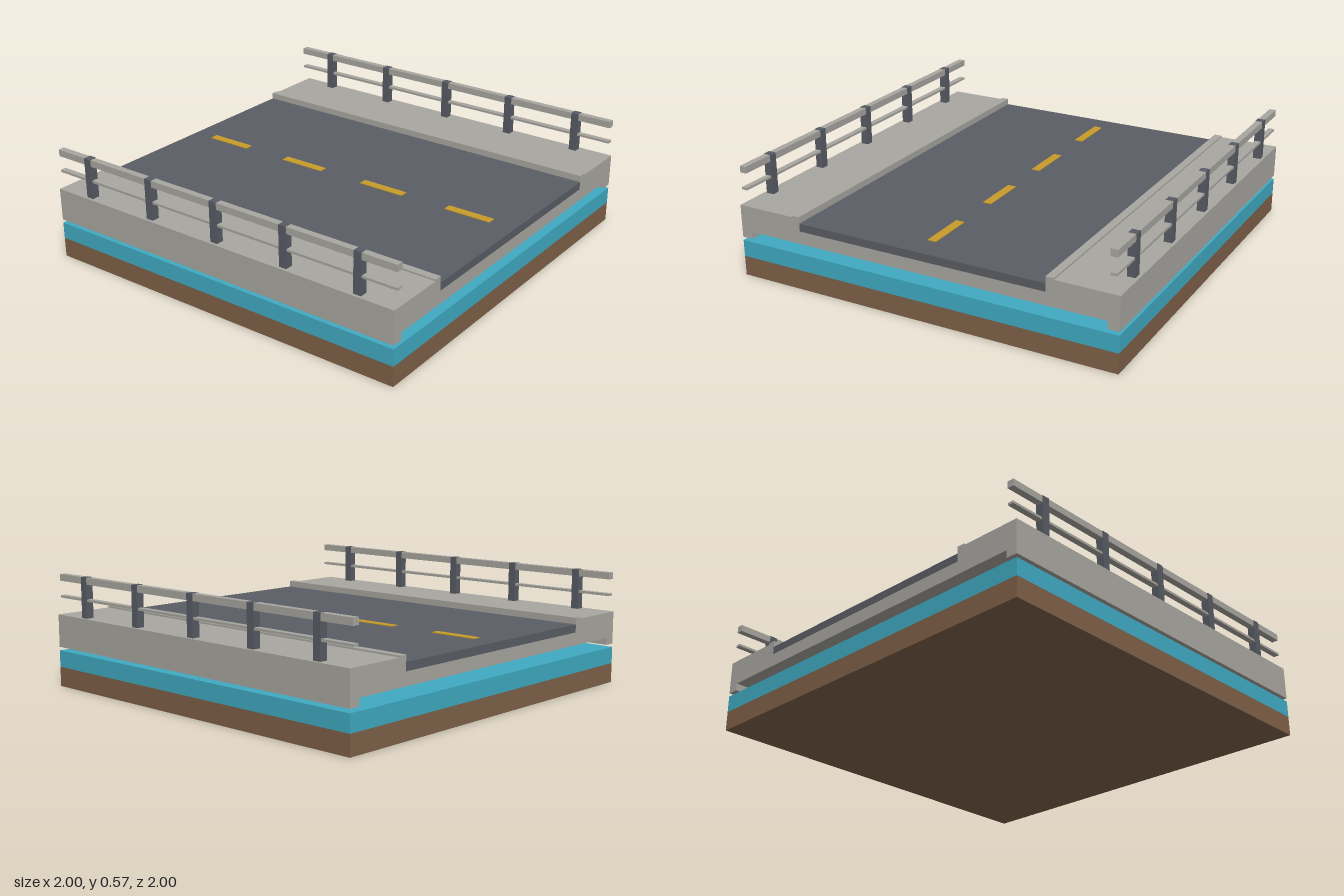
import * as THREE from 'three';

const mat = (name, color) => {
  const m = new THREE.MeshStandardMaterial({ color });
  m.name = name;
  return m;
};

export function createModel() {
  const concrete = mat('concrete', 0xa8a6a0);
  const asphalt = mat('asphalt', 0x5a5d65);
  const steel = mat('dark steel', 0x585b64);
  const water = mat('water', 0x40aac2);
  const earth = mat('riverbed earth', 0x7e6148);
  const yellow = mat('yellow paint', 0xc89c2a);

  const model = new THREE.Group();
  model.name = 'bridgeSection';

  // Box given by its lower and upper limits on each axis
  const box = (name, material, [x0, x1], [y0, y1], [z0, z1], parent = model) => {
    const mesh = new THREE.Mesh(new THREE.BoxGeometry(x1 - x0, y1 - y0, z1 - z0), material);
    mesh.position.set((x0 + x1) / 2, (y0 + y1) / 2, (z0 + z1) / 2);
    mesh.name = name;
    parent.add(mesh);
    return mesh;
  };
  const full = [-1, 1];

  // Ground layers
  box('riverbed', earth, full, [0, 0.1], full);
  box('water', water, full, [0.1, 0.185], full);

  // Deck profile with edge beams, sidewalks and curbs, extruded along the road
  const half = [
    [0.65, 0.305], [0.65, 0.378], [0.69, 0.378], [0.69, 0.37],
    [1, 0.37], [1, 0.203], [0.943, 0.203], [0.943, 0.24],
  ];
  const mirrored = half.map(([x, y]) => [-x, y]).reverse();
  const profile = new THREE.Shape([...half, ...mirrored].map(([x, y]) => new THREE.Vector2(x, y)));
  const deck = new THREE.Mesh(
    new THREE.ExtrudeGeometry(profile, { depth: 2, bevelEnabled: false }), concrete);
  deck.position.z = -1;
  deck.name = 'deck';
  model.add(deck);

  // Road surface and centre line
  box('road', asphalt, [-0.65, 0.65], [0.305, 0.345], full);
  for (const z of [-0.755, -0.255, 0.245, 0.745]) {
    box('laneDash', yellow, [-0.022, 0.022], [0.345, 0.349], [z - 0.125, z + 0.125]);
  }

  // Pier cap on two round piers
  box('pierCap', concrete, [-0.75, 0.75], [0.196, 0.24], [-0.08, 0.08]);
  for (const x of [-0.55, 0.55]) {
    const pier = new THREE.Mesh(new THREE.CylinderGeometry(0.08, 0.08, 0.146, 16), concrete);
    pier.position.set(x, 0.123, 0);
    pier.name = 'pier';
    model.add(pier);
  }

  // Railings on both sides
  for (const side of [-1, 1]) {
    const railing = new THREE.Group();
    railing.name = side > 0 ? 'leftRailing' : 'rightRailing';
    model.add(railing);
    const span = (w) => [side * 0.965 - w / 2, side * 0.965 + w / 2];
    box('topRail', concrete, span(0.034), [0.54, 0.574], full, railing);
    box('lowerRail', concrete, span(0.03), [0.454, 0.466], full, railing);
    for (const z of [-0.8, -0.4, 0, 0.4, 0.8]) {
      box('post', steel, span(0.04), [0.37, 0.575], [z - 0.02, z + 0.02], railing);
    }
  }
  return model;
}
